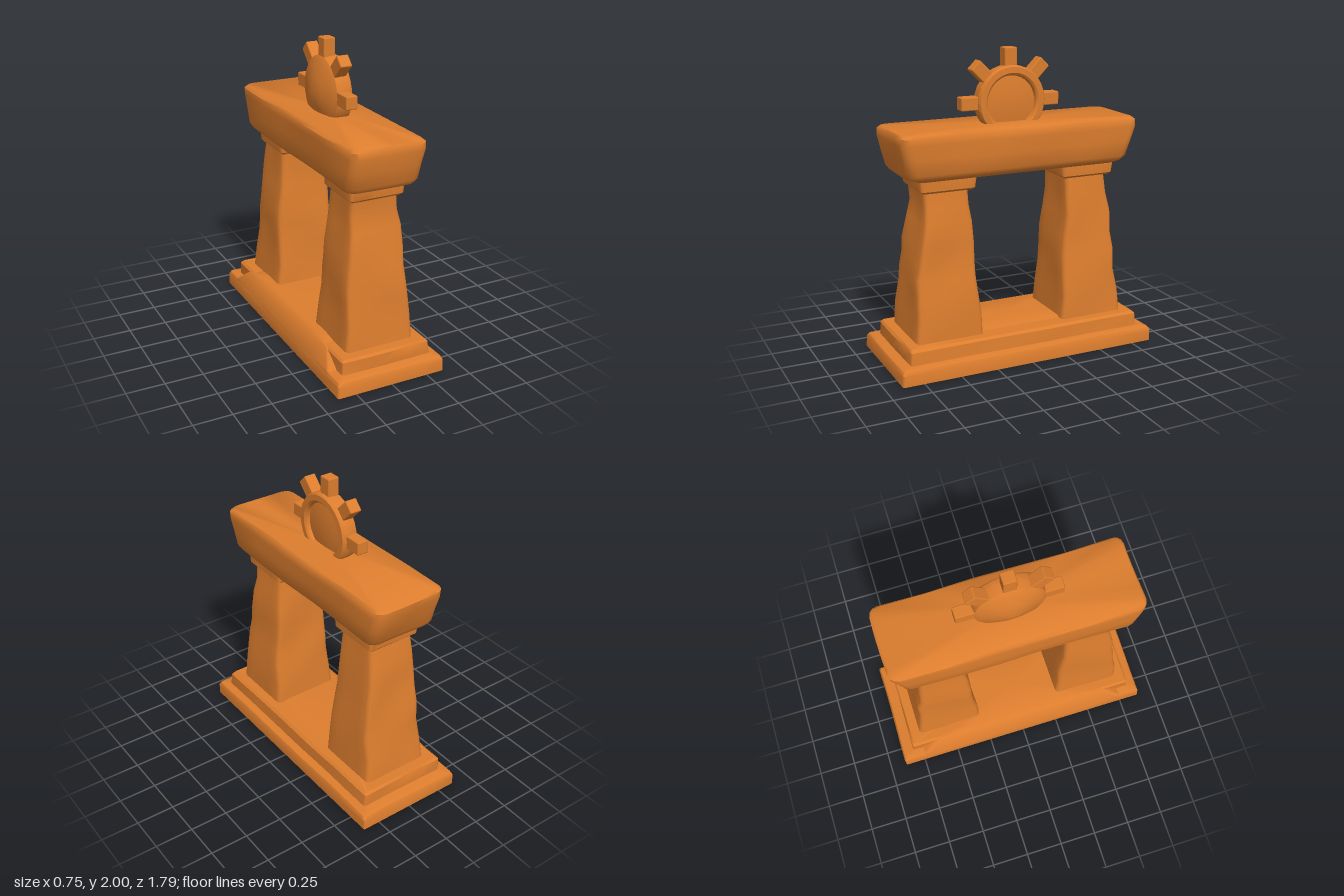
import * as THREE from 'three';
import { toCreasedNormals } from 'three/addons/utils/BufferGeometryUtils.js';
import { RoundedBoxGeometry } from 'three/addons/geometries/RoundedBoxGeometry.js';

const stone = new THREE.MeshStandardMaterial({ color: 0xdc7d2e });
stone.name = 'orange stone';

// Outline of a rounded rectangle, with extra points along each edge
function outline([y, x0, x1, z0, z1, r]) {
  const centres = [[x1 - r, z1 - r], [x0 + r, z1 - r], [x0 + r, z0 + r], [x1 - r, z0 + r]];
  const arc = (k, j) => {
    const a = (k + j / 3) * Math.PI / 2;
    return new THREE.Vector3(centres[k][0] + r * Math.cos(a), y, centres[k][1] + r * Math.sin(a));
  };
  const points = [];
  for (let k = 0; k < 4; k++) {
    for (let j = 0; j <= 3; j++) points.push(arc(k, j));
    for (let j = 1; j <= 4; j++) points.push(arc(k, 3).lerp(arc((k + 1) % 4, 0), j / 5));
  }
  return points;
}

// Closed block through rings of [y, x0, x1, z0, z1, cornerRadius], weathered by a small wobble
function loft(rings, wobble = 0, crease = 0.6) {
  const loops = rings.map(outline);
  const n = loops[0].length, last = rings.length - 1;
  const points = loops.flat();
  points.forEach((p, i) => {
    const ring = Math.floor(i / n);
    if (ring === 0 || ring === last) return;
    const { x, y, z } = p;
    p.x += wobble * Math.sin(9 * y + 7 * z + 1);
    p.z += wobble * Math.sin(11 * y + 8 * x);
  });
  const index = [];
  for (let r = 0; r < last; r++) {
    for (let i = 0; i < n; i++) {
      const a = r * n + i, b = r * n + (i + 1) % n;
      index.push(a, a + n, b, b, a + n, b + n);
    }
  }
  const middle = ([y, x0, x1, z0, z1]) => new THREE.Vector3((x0 + x1) / 2, y, (z0 + z1) / 2);
  const bottom = points.push(middle(rings[0])) - 1;
  const top = points.push(middle(rings[last])) - 1;
  for (let i = 0; i < n; i++) {
    const j = (i + 1) % n;
    index.push(bottom, i, j, top, last * n + j, last * n + i);
  }
  const geometry = new THREE.BufferGeometry().setFromPoints(points);
  geometry.setIndex(index);
  return toCreasedNormals(geometry, crease);
}

export function createModel() {
  const model = new THREE.Group();
  model.name = 'stoneGate';
  const add = (name, geometry, parent = model) => {
    const mesh = new THREE.Mesh(geometry, stone);
    mesh.name = name;
    parent.add(mesh);
    return mesh;
  };

  // Stepped base
  add('baseSlab', loft([
    [0, -0.375, 0.37, -0.89, 0.89, 0.01],
    [0.075, -0.375, 0.37, -0.89, 0.89, 0.015],
    [0.095, -0.365, 0.36, -0.88, 0.88, 0.02],
    [0.103, -0.34, 0.335, -0.86, 0.86, 0.02],
  ], 0.003));
  add('baseStep', loft([
    [0.09, -0.31, 0.31, -0.81, 0.815, 0.01],
    [0.12, -0.31, 0.308, -0.81, 0.815, 0.015],
    [0.185, -0.31, 0.302, -0.808, 0.812, 0.015],
    [0.2, -0.295, 0.285, -0.795, 0.8, 0.02],
  ], 0.003));
  add('wornSlope', loft([
    [0.08, -0.37, 0.2, -0.74, 0.74, 0.02],
    [0.1, -0.368, 0.2, -0.74, 0.74, 0.02],
    [0.195, -0.312, 0.2, -0.62, 0.62, 0.03],
    [0.21, -0.28, 0.15, -0.45, 0.45, 0.03],
  ]));

  // Tapered pillars: rings of y, left x, right x, inner z, outer z
  const profiles = {
    frontPillar: [
      [0.19, -0.24, 0.23, 0.285, 0.74], [0.35, -0.228, 0.222, 0.295, 0.73],
      [0.5, -0.213, 0.212, 0.308, 0.715], [0.6, -0.21, 0.2, 0.315, 0.71],
      [0.7, -0.2, 0.192, 0.32, 0.69], [0.8, -0.195, 0.19, 0.325, 0.682],
      [0.95, -0.178, 0.178, 0.335, 0.658], [1.05, -0.172, 0.155, 0.343, 0.642],
      [1.17, -0.165, 0.15, 0.35, 0.648],
    ],
    backPillar: [
      [0.19, -0.235, 0.23, 0.285, 0.735], [0.35, -0.22, 0.22, 0.295, 0.718],
      [0.5, -0.21, 0.21, 0.305, 0.692], [0.64, -0.205, 0.198, 0.313, 0.695],
      [0.75, -0.2, 0.188, 0.32, 0.672], [0.9, -0.18, 0.18, 0.333, 0.668],
      [1.02, -0.175, 0.16, 0.337, 0.648], [1.17, -0.165, 0.15, 0.34, 0.63],
    ],
  };
  for (const [name, profile] of Object.entries(profiles)) {
    const front = name === 'frontPillar';
    add(name, loft(profile.map(([y, x0, x1, inner, outer]) =>
      [y, x0, x1, front ? inner : -outer, front ? outer : -inner, 0.03]), 0.007, 0.7));
    // Stepped cap on the pillar
    const c = front ? 0.49 : -0.49;
    add(front ? 'frontCap' : 'backCap', loft([
      [1.15, -0.168, 0.165, c - 0.165, c + 0.165, 0.015],
      [1.165, -0.183, 0.182, c - 0.18, c + 0.18, 0.02],
      [1.235, -0.186, 0.185, c - 0.188, c + 0.188, 0.02],
      [1.25, -0.186, 0.185, c - 0.188, c + 0.188, 0.02],
    ], 0.002));
  }

  // Heavy beam, wider at the top
  add('beam', loft([
    [1.23, -0.19, 0.19, -0.69, 0.7, 0.05],
    [1.25, -0.235, 0.22, -0.735, 0.755, 0.06],
    [1.28, -0.25, 0.24, -0.755, 0.775, 0.06],
    [1.38, -0.254, 0.246, -0.785, 0.798, 0.06],
    [1.47, -0.256, 0.252, -0.815, 0.82, 0.06],
    [1.515, -0.255, 0.25, -0.818, 0.82, 0.06],
    [1.532, -0.235, 0.235, -0.8, 0.805, 0.06],
  ], 0.005, 0.9));

  // Sun emblem: a disc with a pointed back, a rimmed face and five rays
  const sun = new THREE.Group();
  sun.name = 'sunEmblem';
  sun.position.y = 1.66;
  model.add(sun);
  const profile = [
    [0, -0.118], [0.1, -0.092], [0.2, -0.062], [0.225, -0.045], [0.232, 0],
    [0.232, 0.045], [0.222, 0.06], [0.185, 0.062], [0.172, 0.052],
    [0.165, 0.03], [0.1, 0.04], [0, 0.045],
  ].map(([r, x]) => new THREE.Vector2(r, x));
  const disc = new THREE.LatheGeometry(profile, 28).rotateZ(-Math.PI / 2);
  add('sunDisc', toCreasedNormals(disc, 0.6), sun);
  for (let i = -2; i <= 2; i++) {
    const ray = new RoundedBoxGeometry(0.08, 0.16, 0.086, 1, 0.008);
    ray.translate(-0.005, 0.262, 0).rotateX(i * Math.PI / 4);
    add('sunRay', ray, sun);
  }
  return model;
}
